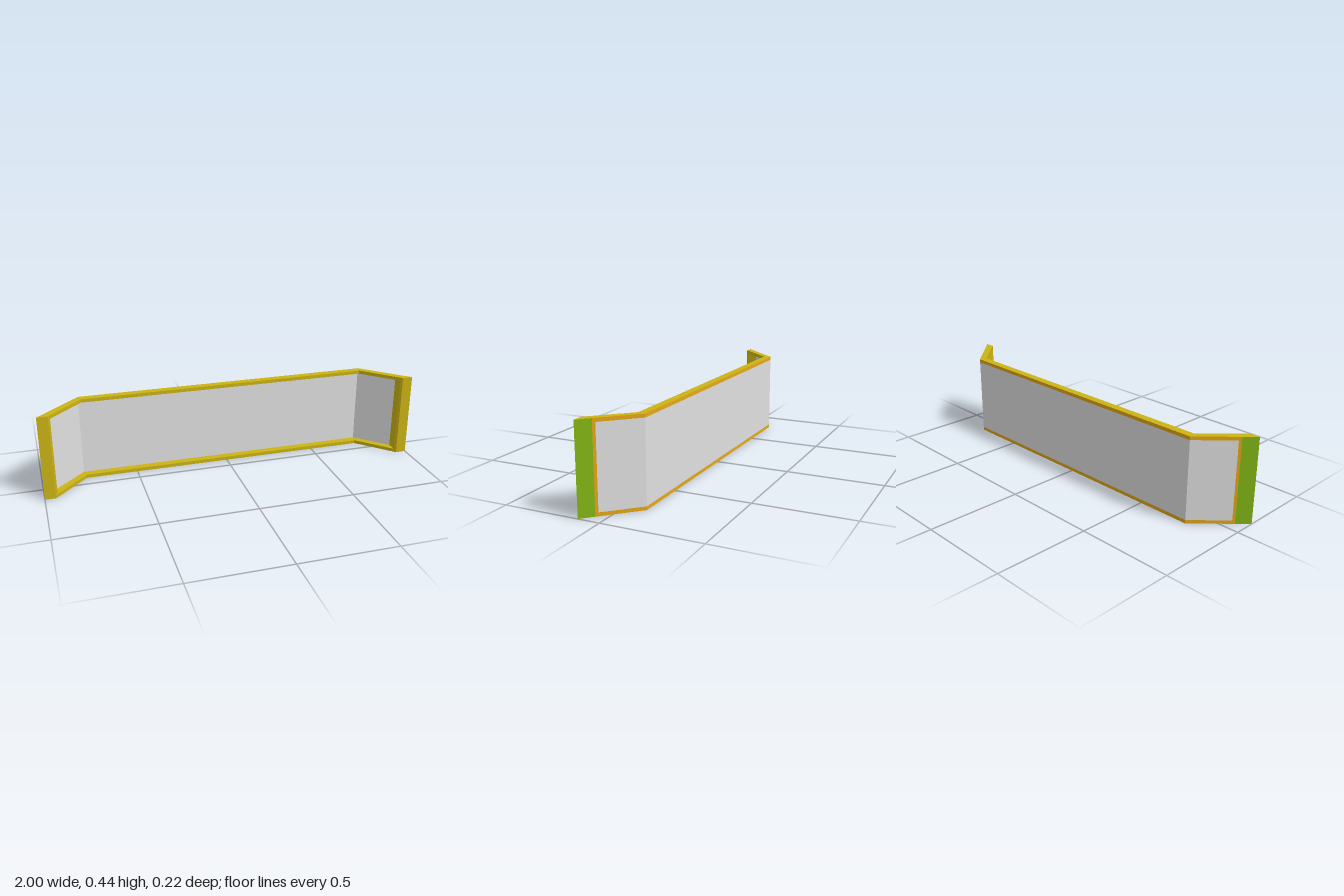
import * as THREE from 'three';
import { mergeGeometries } from 'three/addons/utils/BufferGeometryUtils.js';

const H = 0.445; // total height
const LOW = 0.018, HIGH = H - 0.018; // opening between the two rails

// Plan points are [x, z]
const mirror = (path) => path.map(([x, z]) => [-x, z]).reverse();
const outer = [[1, 0.11], [0.78, -0.11], [-0.78, -0.11], [-1, 0.11]];
const inner = [[-0.945, 0.11], [-0.77, -0.07], [0.77, -0.07], [0.945, 0.11]];

// Vertical surface along a plan path; a path running towards +x faces +z
function wall(path, y0, y1) {
  const pos = [];
  for (let i = 0; i < path.length - 1; i++) {
    const [ax, az] = path[i], [bx, bz] = path[i + 1];
    pos.push(ax, y0, az, bx, y0, bz, bx, y1, bz, ax, y0, az, bx, y1, bz, ax, y1, az);
  }
  const g = new THREE.BufferGeometry();
  g.setAttribute('position', new THREE.Float32BufferAttribute(pos, 3));
  g.computeVertexNormals();
  return g;
}

// Horizontal face filling the plan outline at height y
function cap(y, up) {
  const s = up ? -1 : 1;
  const pts = [...outer, ...inner].map(([x, z]) => new THREE.Vector2(x, z * s));
  const g = new THREE.ShapeGeometry(new THREE.Shape(pts)).toNonIndexed();
  g.deleteAttribute('uv');
  return g.rotateX((s * Math.PI) / 2).translate(0, y, 0);
}

export function createModel() {
  const group = new THREE.Group();
  const mat = (name, color, side = THREE.FrontSide) => {
    const m = new THREE.MeshStandardMaterial({ color, side });
    m.name = name;
    return m;
  };
  const yellow = mat('yellow', 0xccb414);
  const orange = mat('orange', 0xe6a817);
  const green = mat('green', 0x84b816);
  const grey = mat('light grey', 0xe0e0e0, THREE.DoubleSide);

  const add = (name, parts, material) => {
    const mesh = new THREE.Mesh(mergeGeometries(parts), material);
    mesh.name = name;
    group.add(mesh);
  };

  // Top and bottom rails: horizontal faces plus the front edge
  add('bottomRail', [cap(0, false), cap(LOW, true), wall(inner, 0, LOW)], yellow);
  add('topRail', [cap(H, true), cap(HIGH, false), wall(inner, HIGH, H)], yellow);

  // End posts: reveal, inner chamfer and front face
  const post = [[0.935, 0.045], [0.935, 0.1], [0.945, 0.11], [1, 0.11]];
  add('leftPost', [wall(post, 0, H)], yellow);
  add('rightPost', [wall(mirror(post), 0, H)], yellow);

  // Back border around the panel
  const panelPath = [[0.935, 0.045], outer[1], outer[2], [-0.935, 0.045]];
  const edge = [[0.945, 0.055], [0.935, 0.045]];
  add('backBorder', [
    wall(panelPath, 0, LOW), wall(panelPath, HIGH, H),
    wall(edge, 0, H), wall(mirror(edge), 0, H),
  ], orange);

  // Coloured strips at the outer ends
  const strip = [[1, 0.11], [0.945, 0.055]];
  add('leftEndStrip', [wall(strip, 0, H)], green);
  add('rightEndStrip', [wall(mirror(strip), 0, H)], green);

  // Folded panel, flush with the back
  add('panel', [wall(panelPath, LOW, HIGH)], grey);

  return group;
}
